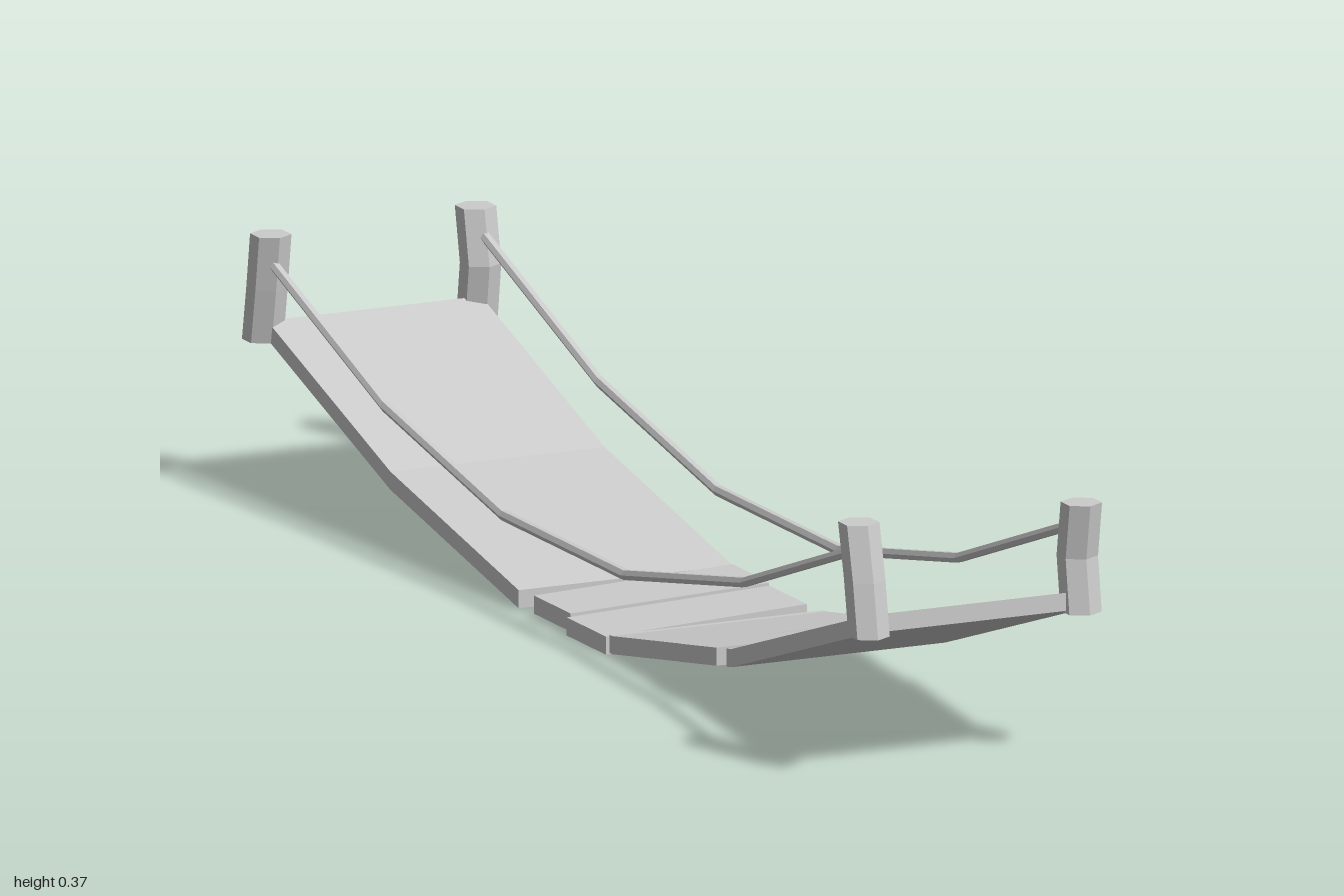
import * as THREE from 'three';

const material = new THREE.MeshStandardMaterial({ color: 0xcccccc, flatShading: true, side: THREE.DoubleSide });

// Underside of the sagging deck: [z, y]
const SAG = [[-0.955, 0.213], [-0.56, 0.083], [-0.15, 0.003], [0.15, 0.003], [0.53, 0.068], [0.97, 0.213]];

function deckY(z) {
  let i = 0;
  while (i < SAG.length - 2 && z > SAG[i + 1][0]) i++;
  const [z0, y0] = SAG[i], [z1, y1] = SAG[i + 1];
  return y0 + (y1 - y0) * (z - z0) / (z1 - z0);
}

// Joins equal rings of points into a closed, flat-shaded solid with end caps
function loft(name, rings) {
  const n = rings[0].length, pos = rings.flat(2), index = [];
  for (let r = 0; r < rings.length - 1; r++) {
    for (let i = 0; i < n; i++) {
      const a = r * n + i, b = r * n + (i + 1) % n;
      index.push(a, b, b + n, a, b + n, a + n);
    }
  }
  const last = (rings.length - 1) * n;
  for (let i = 1; i < n - 1; i++) {
    index.push(0, i + 1, i, last, last + i, last + i + 1);
  }
  const geometry = new THREE.BufferGeometry();
  geometry.setAttribute('position', new THREE.Float32BufferAttribute(pos, 3));
  geometry.setIndex(index);
  const flat = geometry.toNonIndexed();
  flat.computeVertexNormals();
  const mesh = new THREE.Mesh(flat, material);
  mesh.name = name;
  return mesh;
}

// Deck piece crossing the bridge; rows are [z at -x edge, z at +x edge], from back to front
function slab(name, rows, shift = 0, lift = 0, tilt = 0) {
  const w = 0.166, t = 0.026;
  return loft(name, rows.map(([zl, zr]) => {
    const yl = deckY(zl) + lift + tilt, yr = deckY(zr) + lift - tilt;
    return [
      [shift - w, yl, zl], [shift + w, yr, zr],
      [shift + w, yr + t, zr], [shift - w, yl + t, zl],
    ];
  }));
}

// Six-sided post, slightly bent; z centres at bottom, middle and top
function post(name, x, zs) {
  const heights = [0.209, 0.287, 0.366];
  return loft(name, zs.map((z, k) => Array.from({ length: 6 }, (_, i) => {
    const a = -i * Math.PI / 3;
    return [x + 0.029 * Math.sin(a), heights[k], z + 0.029 * Math.cos(a)];
  })));
}

// Thin hand rope following the sag in straight lengths
function rope(name, x) {
  const path = [[-0.955, 0.333], [-0.575, 0.2], [-0.195, 0.127], [0.195, 0.127], [0.575, 0.2], [0.955, 0.333]];
  return loft(name, path.map(([z, y]) => Array.from({ length: 6 }, (_, i) => {
    const a = i * Math.PI / 3;
    return [x + 0.008 * Math.cos(a), y + 0.008 * Math.sin(a), z];
  })));
}

export function createModel() {
  const group = new THREE.Group();
  group.name = 'ropeBridge';

  // Long solid deck sections at both ends
  group.add(
    slab('backDeck', [[-0.955, -0.955], [-0.56, -0.56], [-0.15, -0.15]]),
    slab('frontDeck', [[0.515, 0.515], [0.53, 0.53], [0.97, 0.97]]),
  );

  // Loose, skewed planks in the middle
  group.add(
    slab('plankOne', [[-0.105, -0.155], [0.012, -0.038]], 0.002, 0.001, 0.001),
    slab('plankTwo', [[0.012, -0.025], [0.138, 0.095]], -0.004, -0.002, -0.001),
    slab('plankThree', [[0.141, 0.141], [0.15, 0.15], [0.371, 0.376]]),
    slab('plankFour', [[0.371, 0.383], [0.495, 0.512]], -0.006, 0, 0.001),
  );

  // Corner posts
  group.add(
    post('frontRightPost', -0.165, [0.969, 0.955, 0.936]),
    post('frontLeftPost', 0.165, [0.966, 0.954, 0.967]),
    post('backRightPost', -0.165, [-0.971, -0.957, -0.945]),
    post('backLeftPost', 0.165, [-0.966, -0.955, -0.971]),
  );

  // Hand ropes
  group.add(rope('rightRope', -0.167), rope('leftRope', 0.165));
  return group;
}
